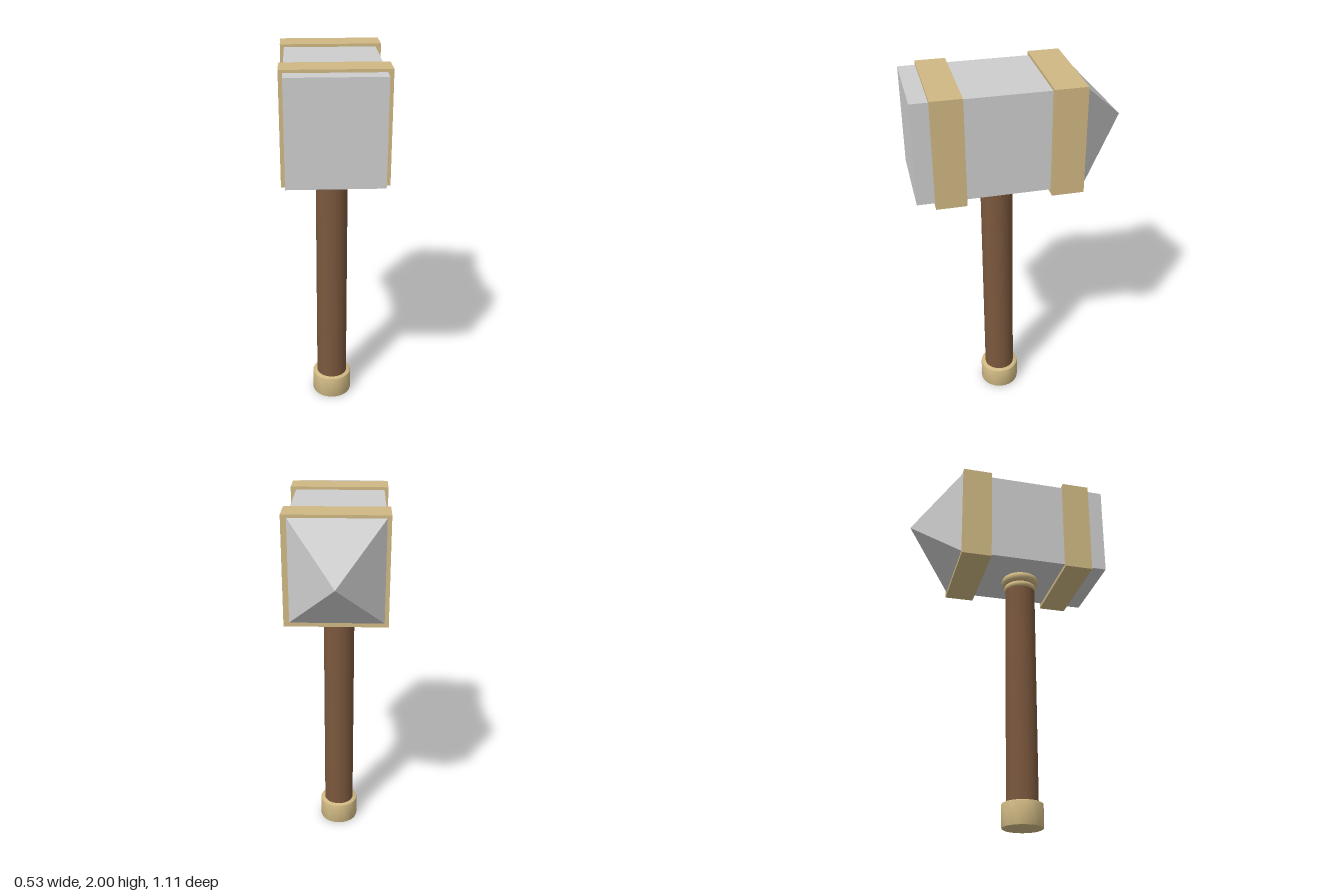
import * as THREE from 'three';
import { toCreasedNormals } from 'three/addons/utils/BufferGeometryUtils.js';

export function createModel() {
  const group = new THREE.Group();
  const mat = (name, color) => {
    const m = new THREE.MeshStandardMaterial({ color });
    m.name = name;
    return m;
  };
  const steel = mat('steel', 0xcdcdcd);
  const brass = mat('brass', 0xcfb883);
  const wood = mat('wood', 0x7b583d);

  const cx = -0.004; // head and handle axis
  const headY = 1.72;
  const handleZ = 0.106;

  const add = (name, geometry, material, x, y, z) => {
    const mesh = new THREE.Mesh(geometry, material);
    mesh.name = name;
    mesh.position.set(x, y, z);
    group.add(mesh);
  };
  const turned = (name, profile, material) => {
    const points = profile.map(([r, y]) => new THREE.Vector2(r, y));
    const geometry = toCreasedNormals(new THREE.LatheGeometry(points, 32), 0.6);
    add(name, geometry, material, cx, 0, handleZ);
  };

  // Hammer head block
  const front = 0.553, back = -0.28;
  add('head', new THREE.BoxGeometry(0.478, 0.53, front - back), steel, cx, headY, (front + back) / 2);

  // Four-sided spike behind the head
  const spike = new THREE.ConeGeometry(Math.SQRT2, 0.264, 4);
  spike.rotateY(Math.PI / 4);
  spike.rotateX(-Math.PI / 2);
  spike.scale(0.239, 0.265, 1);
  add('spike', toCreasedNormals(spike, 0.3), steel, cx, headY, -0.291 - 0.132);

  // Bands around the head
  for (const [name, z0, z1] of [['frontBand', 0.307, 0.463], ['backBand', -0.291, -0.124]]) {
    add(name, new THREE.BoxGeometry(0.528, 0.566, z1 - z0), brass, 0, 1.717, (z0 + z1) / 2);
  }

  // Handle
  turned('handle', [[0.085, 0.06], [0.085, 1.44]], wood);

  // Pommel with softened rims
  turned('pommel', [
    [0, 0], [0.103, 0], [0.108, 0.003], [0.11, 0.009],
    [0.11, 0.121], [0.108, 0.127], [0.103, 0.13], [0, 0.13],
  ], brass);

  // Two rounded collar rings under the head
  const ring = (name, r, y0, y1) => {
    const profile = [[0, y0]];
    const half = (y1 - y0) / 2;
    for (let i = 0; i <= 8; i++) {
      const a = -Math.PI / 2 + (i / 8) * Math.PI;
      profile.push([r - half + half * Math.cos(a), y0 + half + half * Math.sin(a)]);
    }
    profile.push([0, y1]);
    turned(name, profile, brass);
  };
  ring('lowerCollar', 0.093, 1.37, 1.412);
  ring('upperCollar', 0.107, 1.41, 1.462);

  return group;
}
